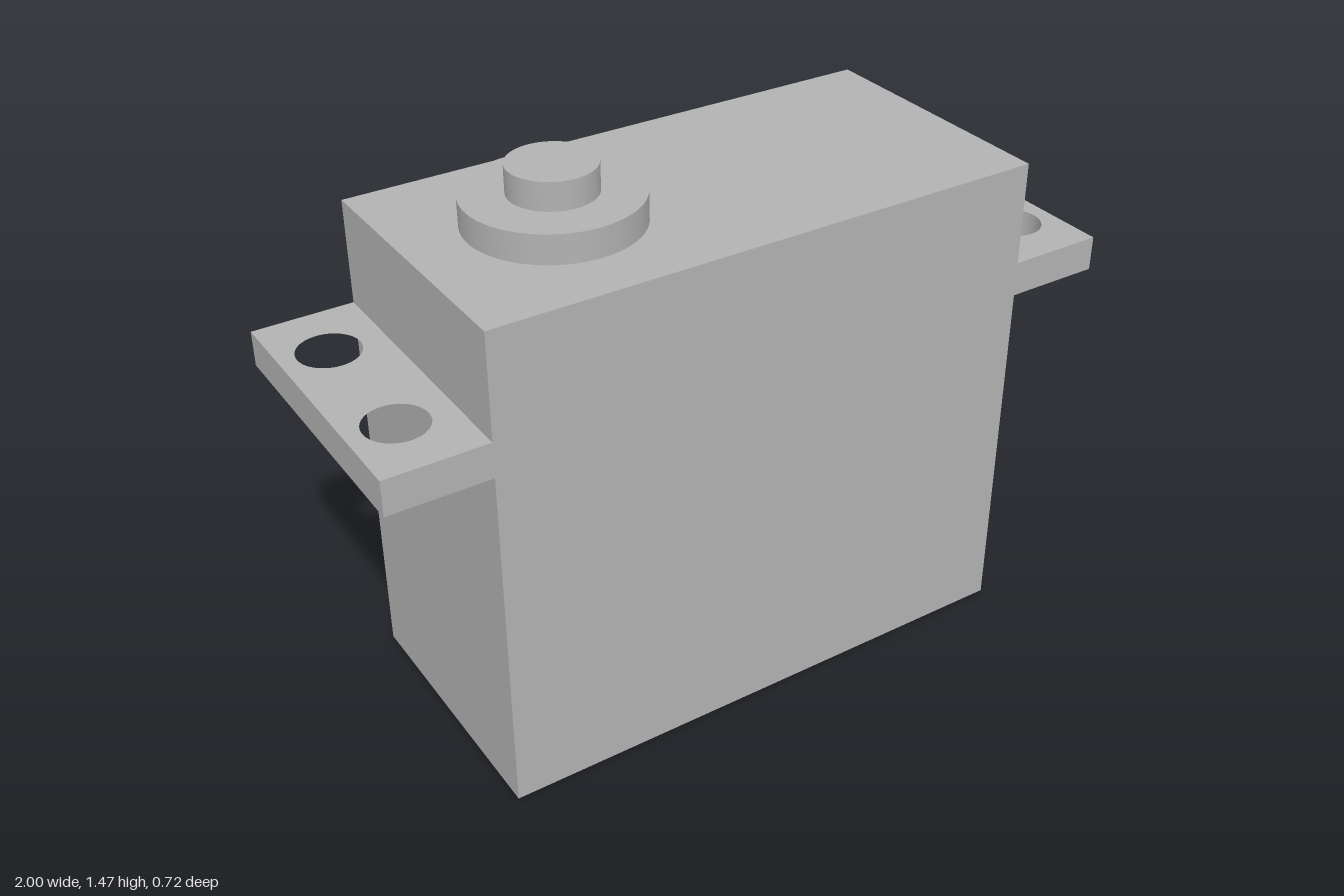
import * as THREE from 'three';
import { toCreasedNormals } from 'three/addons/utils/BufferGeometryUtils.js';

const BODY_X = 0.74, BODY_Z = 0.362, BODY_H = 1.32;
const SHAFT_X = -0.375;

export function createModel() {
  const group = new THREE.Group();
  const grey = new THREE.MeshStandardMaterial({ color: 0xb2b2b2 });
  grey.name = 'casing grey';

  const add = (name, geometry, x, y, z) => {
    const mesh = new THREE.Mesh(geometry, grey);
    mesh.name = name;
    mesh.position.set(x, y, z);
    group.add(mesh);
  };

  // Main casing
  add('casing', new THREE.BoxGeometry(BODY_X * 2, BODY_H, BODY_Z * 2), 0, BODY_H / 2, 0);

  // Mounting tabs, each with two through holes
  for (const [name, side] of [['leftMountingTab', 1], ['rightMountingTab', -1]]) {
    const shape = new THREE.Shape([
      [BODY_X, -BODY_Z], [1, -BODY_Z], [1, BODY_Z], [BODY_X, BODY_Z],
    ].map(([x, z]) => new THREE.Vector2(side * x, z)));
    for (const z of [-0.182, 0.182]) {
      shape.holes.push(new THREE.Path().absarc(side * 0.88, z, 0.078, 0, Math.PI * 2, true));
    }
    const tab = new THREE.ExtrudeGeometry(shape, { depth: 0.092, bevelEnabled: false, curveSegments: 48 });
    tab.rotateX(-Math.PI / 2);
    add(name, toCreasedNormals(tab, 0.6), 0, 0.955, 0);
  }

  // Stepped output: wide collar, then narrow shaft
  let y = BODY_H;
  for (const [name, radius, height] of [['outputCollar', 0.218, 0.075], ['outputShaft', 0.109, 0.072]]) {
    add(name, new THREE.CylinderGeometry(radius, radius, height, 64), SHAFT_X, y + height / 2, 0);
    y += height;
  }

  return group;
}
